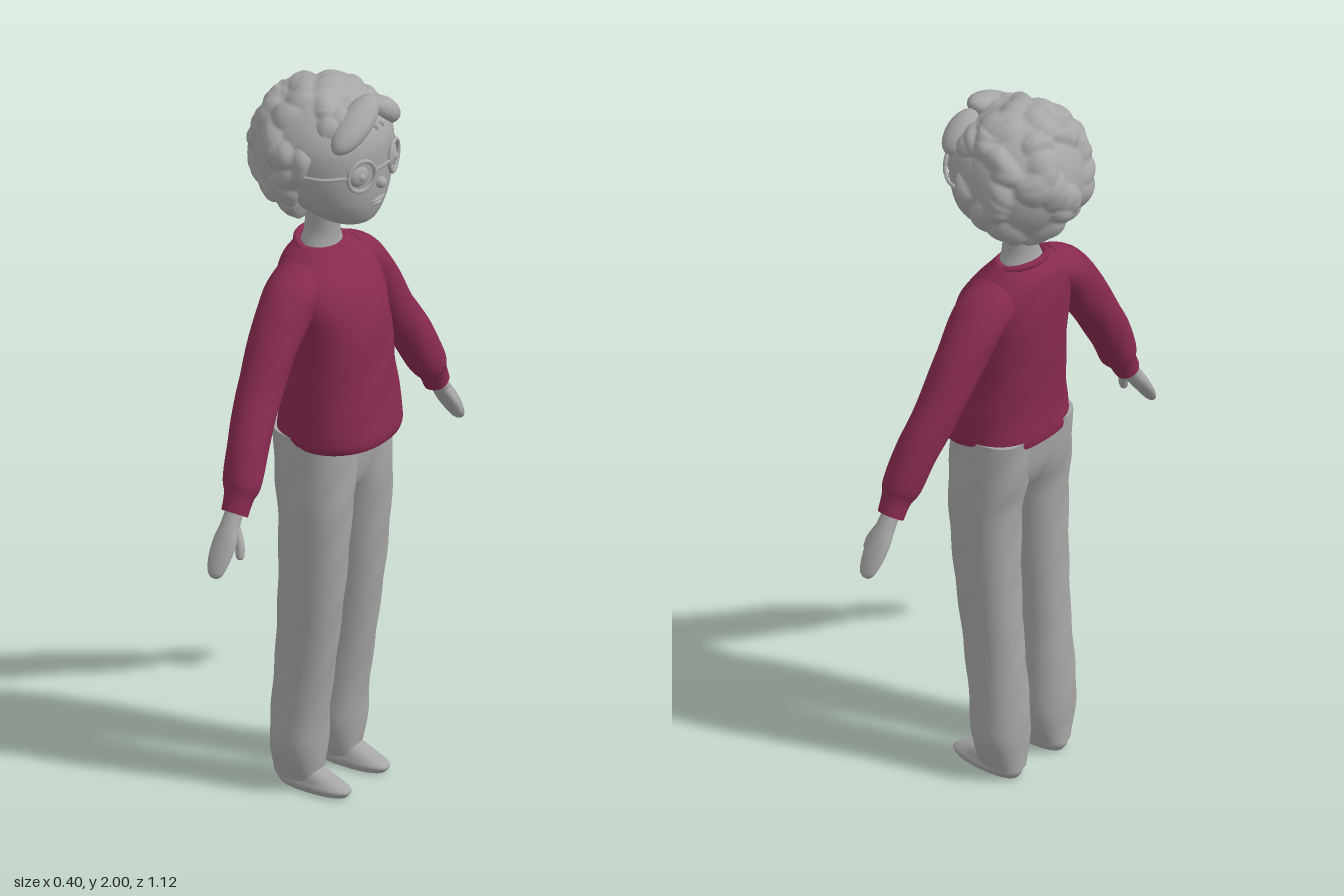
import * as THREE from 'three';
import { mergeVertices } from 'three/addons/utils/BufferGeometryUtils.js';

const grey = new THREE.MeshStandardMaterial({ color: 0xa6a6a6 });
grey.name = 'plain grey';
const wine = new THREE.MeshStandardMaterial({ color: 0x882a50 });
wine.name = 'wine red';

// Catmull-Rom value between b and c
function spline(a, b, c, d, t) {
  return 0.5 * (2 * b + (c - a) * t + (2 * a - 5 * b + 4 * c - d) * t * t + (3 * b - a - 3 * c + d) * t * t * t);
}

// Skin over rows [x, y, z, depth radius, side radius, tilt], listed bottom to top
function loft(rows, { side = 1, n = 40, power = 2, fold = 0, steps = 6 } = {}) {
  const rings = [];
  const last = rows.length - 1;
  for (let i = 0; i < last; i++) {
    for (let s = 0; s < steps + (i === last - 1 ? 1 : 0); s++) {
      rings.push(rows[i].map((_, k) => spline(
        rows[Math.max(i - 1, 0)][k], rows[i][k], rows[i + 1][k], rows[Math.min(i + 2, last)][k], s / steps)));
    }
  }
  const pos = [], index = [];
  const addRing = ([x, y, z, rx, rs, a], scale) => {
    const start = pos.length / 3;
    for (let j = 0; j < n; j++) {
      const t = (j / n) * Math.PI * 2;
      const c = Math.cos(t), s = Math.sin(t);
      const w = scale * (1 + fold * Math.sin(3 * t + 17 * y) * Math.sin(23 * y + 2 * t));
      const u = Math.sign(c) * Math.abs(c) ** (2 / power) * rx * w;
      const v = Math.sign(s) * Math.abs(s) ** (2 / power) * rs * w;
      pos.push(x + u, y + v * Math.sin(a * side), z * side + v * Math.cos(a * side));
    }
    return start;
  };
  const join = (lo, hi) => {
    for (let j = 0; j < n; j++) {
      const k = (j + 1) % n;
      index.push(lo + j, hi + j, lo + k, lo + k, hi + j, hi + k);
    }
  };
  const starts = rings.map((r) => addRing(r, 1));
  for (let i = 0; i + 1 < starts.length; i++) join(starts[i], starts[i + 1]);
  // end caps with their own vertices, so the rims stay sharp
  join(addRing(rings[0], 0), addRing(rings[0], 1));
  const top = rings[rings.length - 1];
  join(addRing(top, 1), addRing(top, 0));
  const g = new THREE.BufferGeometry();
  g.setAttribute('position', new THREE.Float32BufferAttribute(pos, 3));
  g.setIndex(index);
  g.computeVertexNormals();
  return g;
}

// Row from height and extents: back, front, inner side, outer side
const span = ([y, x0, x1, z0, z1]) => [(x0 + x1) / 2, y, (z0 + z1) / 2, (x1 - x0) / 2, (z1 - z0) / 2, 0];
// Row symmetric about z = 0
const even = ([y, x0, x1, r]) => span([y, x0, x1, -r, r]);

// Curly hair: a ball with rounded cells, sunk below the skin over the face
function hairGeometry() {
  let g = new THREE.IcosahedronGeometry(1, 34);
  g.deleteAttribute('uv');
  g.deleteAttribute('normal');
  g = mergeVertices(g, 1e-4);
  const curls = [];
  for (let i = 0; i < 120; i++) {
    const y = 1 - (2 * i + 1) / 120, a = i * 2.39996 + 0.5 * Math.sin(i * 7.3), r = Math.sqrt(1 - y * y);
    curls.push(new THREE.Vector3(r * Math.cos(a), y + 0.07 * Math.sin(i * 3.7), r * Math.sin(a)));
  }
  const p = g.attributes.position, d = new THREE.Vector3(), q = new THREE.Vector3();
  for (let i = 0; i < p.count; i++) {
    d.fromBufferAttribute(p, i).normalize();
    q.set(d.x + 0.06 * Math.sin(9 * d.y + 4 * d.z), d.y + 0.06 * Math.sin(8 * d.z), d.z + 0.06 * Math.sin(9 * d.x));
    let near = 9;
    for (const c of curls) near = Math.min(near, c.distanceToSquared(q));
    const bump = 0.11 * Math.max(0, 1 - near / 0.06) * (d.y > 0.8 ? 0.7 : 1);
    const x = 0.178 * d.x, y = 0.183 * d.y;
    const edge = Math.min(x - 0.055 - 0.4 * (y + 0.03), 0.08 - y + 0.008 * Math.sin(40 * d.z));
    const k = (1 + bump) * (1 - 0.2 * THREE.MathUtils.smoothstep(edge, -0.012, 0.012));
    p.setXYZ(i, 0.176 * d.x * k - 0.006, 1.802 + 0.183 * d.y * k, 0.176 * d.z * k);
  }
  g.computeVertexNormals();
  return g;
}

export function createModel() {
  const model = new THREE.Group();
  const add = (name, geometry, material = grey) => {
    const m = new THREE.Mesh(geometry, material);
    m.name = name;
    model.add(m);
    return m;
  };
  const ball = (name, [x, y, z], [sx, sy, sz]) => {
    const m = add(name, new THREE.SphereGeometry(1, 28, 20));
    m.position.set(x, y, z);
    m.scale.set(sx, sy, sz);
    return m;
  };
  const rod = (name, points, radius) => add(name, new THREE.TubeGeometry(
    new THREE.CatmullRomCurve3(points.map((p) => new THREE.Vector3(...p))), 12, radius, 8));

  // head and neck
  add('head', loft([
    [1.618, 0.05, 0.115, 0.03], [1.632, 0.0, 0.145, 0.068], [1.665, -0.06, 0.162, 0.108],
    [1.71, -0.11, 0.172, 0.143], [1.78, -0.14, 0.176, 0.168], [1.86, -0.13, 0.174, 0.165],
    [1.92, -0.1, 0.14, 0.125], [1.95, -0.05, 0.08, 0.06],
  ].map(even), { n: 48, power: 2.1 }));
  add('neck', loft([
    [1.48, -0.08, 0.06, 0.075], [1.53, -0.06, 0.045, 0.062], [1.58, -0.05, 0.042, 0.046], [1.68, -0.05, 0.05, 0.046],
  ].map(even)));
  ball('nose', [0.175, 1.748, 0], [0.018, 0.016, 0.016]);
  ball('upperLip', [0.165, 1.7, 0], [0.012, 0.006, 0.03]);
  ball('lowerLip', [0.162, 1.688, 0], [0.012, 0.007, 0.022]);

  // hair and swept fringe
  add('hair', hairGeometry());
  ball('fringe', [0.127, 1.918, 0.045], [0.046, 0.038, 0.1]).rotation.x = 0.5;
  ball('sideFringe', [0.122, 1.905, -0.088], [0.04, 0.034, 0.068]).rotation.x = -0.65;

  // sweater body and neckband
  add('sweaterBody', loft([
    [1.005, -0.093, 0.19, 0.163], [1.03, -0.095, 0.195, 0.168], [1.1, -0.09, 0.186, 0.163],
    [1.2, -0.094, 0.176, 0.152], [1.32, -0.1, 0.166, 0.149], [1.4, -0.1, 0.14, 0.158],
    [1.46, -0.096, 0.105, 0.148], [1.505, -0.088, 0.068, 0.112], [1.535, -0.068, 0.045, 0.075],
  ].map(even), { n: 56, power: 2.4, fold: 0.018 }), wine);
  const band = add('neckband', new THREE.TorusGeometry(0.06, 0.009, 10, 40), wine);
  band.position.set(-0.01, 1.528, 0);
  band.rotation.set(Math.PI / 2, -0.3, 0);
  band.scale.y = 1.15;

  // trousers seat
  add('trouserSeat', loft([
    [0.82, -0.01, 0.06, 0.04], [0.86, -0.05, 0.105, 0.13], [0.93, -0.078, 0.125, 0.165], [1.03, -0.088, 0.132, 0.163],
  ].map(even), { power: 2.5 }));

  for (const side of [1, -1]) {
    const word = side > 0 ? 'left' : 'right';

    // leg and shoe
    add(word + 'TrouserLeg', loft([
      [0.03, -0.084, 0.045, 0.035, 0.135], [0.07, -0.084, 0.05, 0.022, 0.15], [0.13, -0.086, 0.056, 0.012, 0.165],
      [0.22, -0.083, 0.062, 0.014, 0.164], [0.4, -0.07, 0.09, 0.02, 0.16], [0.6, -0.06, 0.115, 0.015, 0.168],
      [0.8, -0.062, 0.13, 0.005, 0.175], [0.9, -0.078, 0.134, -0.01, 0.172], [1.03, -0.088, 0.133, -0.01, 0.163],
    ].map(span), { side, power: 2.3, fold: 0.03 }));
    add(word + 'Shoe', loft([
      [0, -0.07, 0.13, 0.05, 0.122], [0.016, -0.08, 0.14, 0.044, 0.13],
      [0.032, -0.08, 0.115, 0.048, 0.126], [0.06, -0.07, 0.05, 0.055, 0.12],
    ].map(span), { side, power: 2.3 }));

    // sleeve
    add(word + 'Sleeve', loft([
      [0.035, 0.945, 0.456, 0.036, 0.034, 0.55], [0.035, 0.985, 0.436, 0.04, 0.038, 0.55],
      [0.032, 1.02, 0.417, 0.052, 0.05, 0.57], [0.02, 1.11, 0.37, 0.055, 0.056, 0.6],
      [0.005, 1.22, 0.298, 0.06, 0.058, 0.6], [0, 1.33, 0.226, 0.066, 0.065, 0.6],
      [-0.002, 1.42, 0.152, 0.075, 0.065, 0.8], [-0.005, 1.46, 0.085, 0.072, 0.056, 1.1],
    ], { side, fold: 0.03 }), wine);

    // hand
    add(word + 'Hand', loft([
      [0.038, 0.8, 0.553, 0.008, 0.005, 0.6], [0.038, 0.812, 0.547, 0.022, 0.011, 0.6],
      [0.037, 0.845, 0.527, 0.032, 0.016, 0.6], [0.037, 0.885, 0.5, 0.034, 0.02, 0.6],
      [0.036, 0.92, 0.476, 0.027, 0.021, 0.6], [0.035, 0.965, 0.446, 0.024, 0.02, 0.6],
    ], { side, n: 24 }));
    add(word + 'Thumb', loft([
      [0.08, 0.842, 0.497, 0.004, 0.004, 0.2], [0.08, 0.85, 0.496, 0.011, 0.01, 0.2],
      [0.073, 0.88, 0.486, 0.013, 0.012, 0.2], [0.05, 0.92, 0.474, 0.014, 0.014, 0.2],
    ], { side, n: 16 }));

    // eye and spectacles
    ball(word + 'Eye', [0.157, 1.79, side * 0.072], [0.016, 0.03, 0.03]).rotation.y = -side * 0.35;
    ball(word + 'Pupil', [0.17, 1.79, side * 0.074], [0.008, 0.011, 0.011]);
    const rim = add(word + 'SpectacleRim', new THREE.TorusGeometry(0.042, 0.006, 10, 40));
    rim.position.set(0.168, 1.792, side * 0.073);
    rim.rotation.y = Math.PI / 2 - side * 0.35;
    rod(word + 'SpectacleArm', [[0.152, 1.797, side * 0.114], [0.1, 1.797, side * 0.16], [0.03, 1.797, side * 0.176]], 0.005);
  }
  rod('spectacleBridge', [[0.181, 1.797, 0.033], [0.188, 1.802, 0], [0.181, 1.797, -0.033]], 0.005);

  return model;
}
